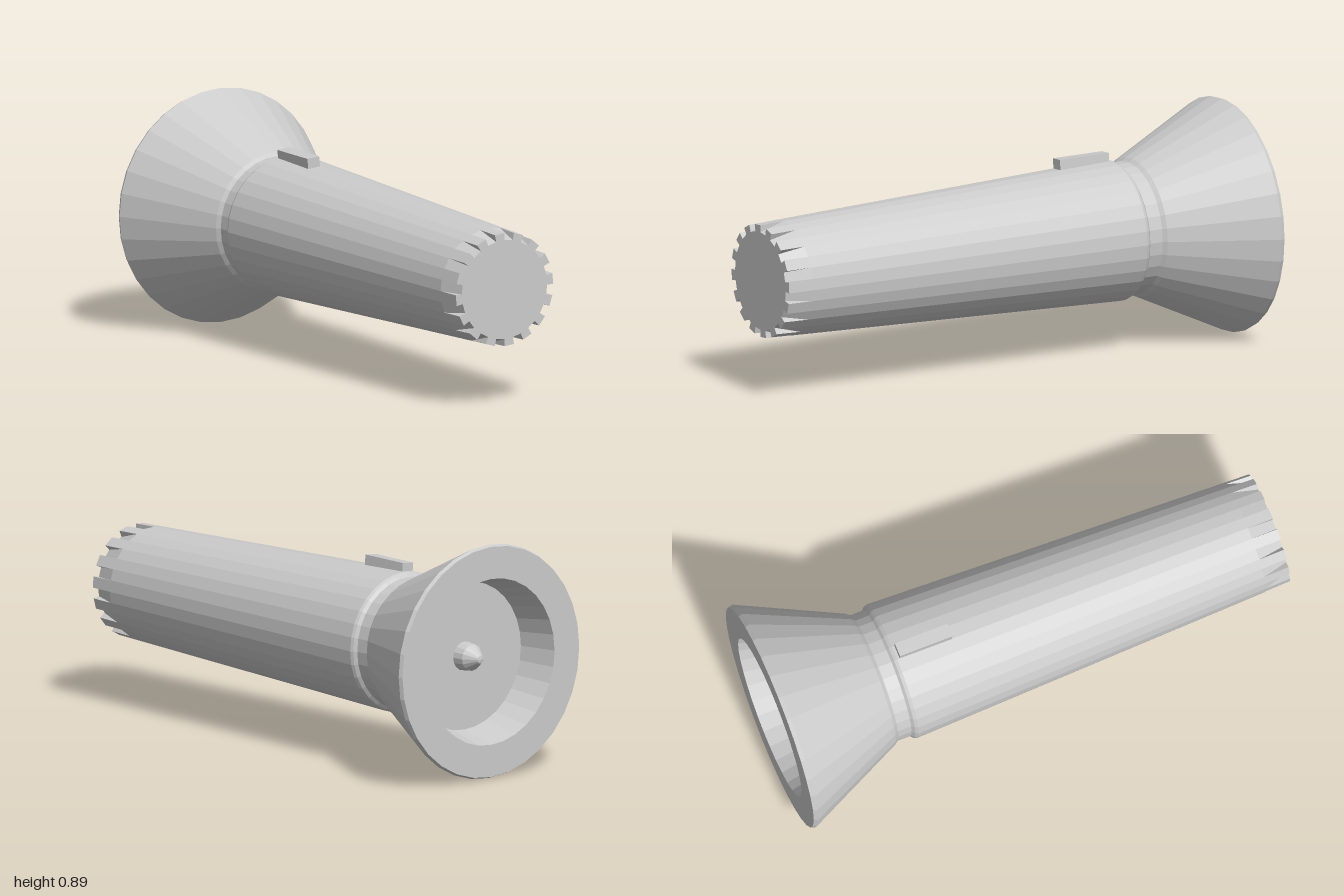
import * as THREE from 'three';

const SIDES = 32, STEP = (Math.PI * 2) / SIDES;
const material = new THREE.MeshStandardMaterial({ color: 0xcccccc, flatShading: true });

// Lathe around the z axis; profile points are [radius, z] from back to front
function turned(name, profile, sides = SIDES) {
  const geometry = new THREE.LatheGeometry(profile.map(([r, z]) => new THREE.Vector2(r, z)), sides);
  geometry.rotateX(Math.PI / 2);
  const mesh = new THREE.Mesh(geometry, material);
  mesh.name = name;
  return mesh;
}

// Tapered handle whose alternate facets slope inwards into notches at the end
function handleGeometry() {
  const zBack = -0.51, zNotch = 0.9, zEnd = 1;
  const rBack = 0.266, rEnd = 0.214, rFloor = 0.187;
  const rNotch = THREE.MathUtils.mapLinear(zNotch, zBack, zEnd, rBack, rEnd);
  const positions = [];
  const point = (r, a, z) => [r * Math.sin(a), r * Math.cos(a), z];
  const tri = (a, b, c) => positions.push(...a, ...b, ...c);
  const quad = (a, b, c, d) => { tri(a, b, c); tri(a, c, d); };

  for (let i = 0; i < SIDES; i++) {
    const a0 = i * STEP, a1 = a0 + STEP;
    const notched = i % 2 === 0;
    const r = notched ? rFloor : rEnd;
    const n0 = point(rNotch, a0, zNotch), n1 = point(rNotch, a1, zNotch);
    const e0 = point(r, a0, zEnd), e1 = point(r, a1, zEnd);
    quad(point(rBack, a0, zBack), n0, n1, point(rBack, a1, zBack));
    quad(n0, e0, e1, n1);
    tri([0, 0, zEnd], e1, e0);
    if (notched) {
      tri(e0, n0, point(rEnd, a0, zEnd));
      tri(e1, point(rEnd, a1, zEnd), n1);
    }
  }
  const geometry = new THREE.BufferGeometry();
  geometry.setAttribute('position', new THREE.Float32BufferAttribute(positions, 3));
  geometry.computeVertexNormals();
  return geometry;
}

export function createModel() {
  const model = new THREE.Group();
  model.name = 'flashlight';
  const torch = new THREE.Group();
  torch.name = 'torch';
  torch.position.y = 0.443;
  model.add(torch);

  const handle = new THREE.Mesh(handleGeometry(), material);
  handle.name = 'handle';
  torch.add(handle);

  // Collar between handle and head
  torch.add(turned('collar', [[0.25, -0.59], [0.25, -0.532], [0.261, -0.522], [0.266, -0.51]]));

  // Flared head with the reflector recess in its back face
  torch.add(turned('head', [
    [0, -0.85], [0.28, -0.85], [0.315, -1], [0.437, -1], [0.443, -0.985], [0.262, -0.6], [0.25, -0.585],
  ]));

  // Bulb in the recess
  torch.add(turned('bulb', [[0, -0.945], [0.015, -0.942], [0.05, -0.895], [0.055, -0.85]], 16));

  // Slide switch seated on one facet of the handle
  const button = new THREE.Mesh(new THREE.BoxGeometry(0.052, 0.05, 0.21), material);
  button.name = 'switch';
  button.position.set(0, 0.271, -0.395);
  const switchMount = new THREE.Group();
  switchMount.name = 'switchMount';
  switchMount.rotation.z = STEP / 2;
  switchMount.add(button);
  torch.add(switchMount);

  return model;
}
